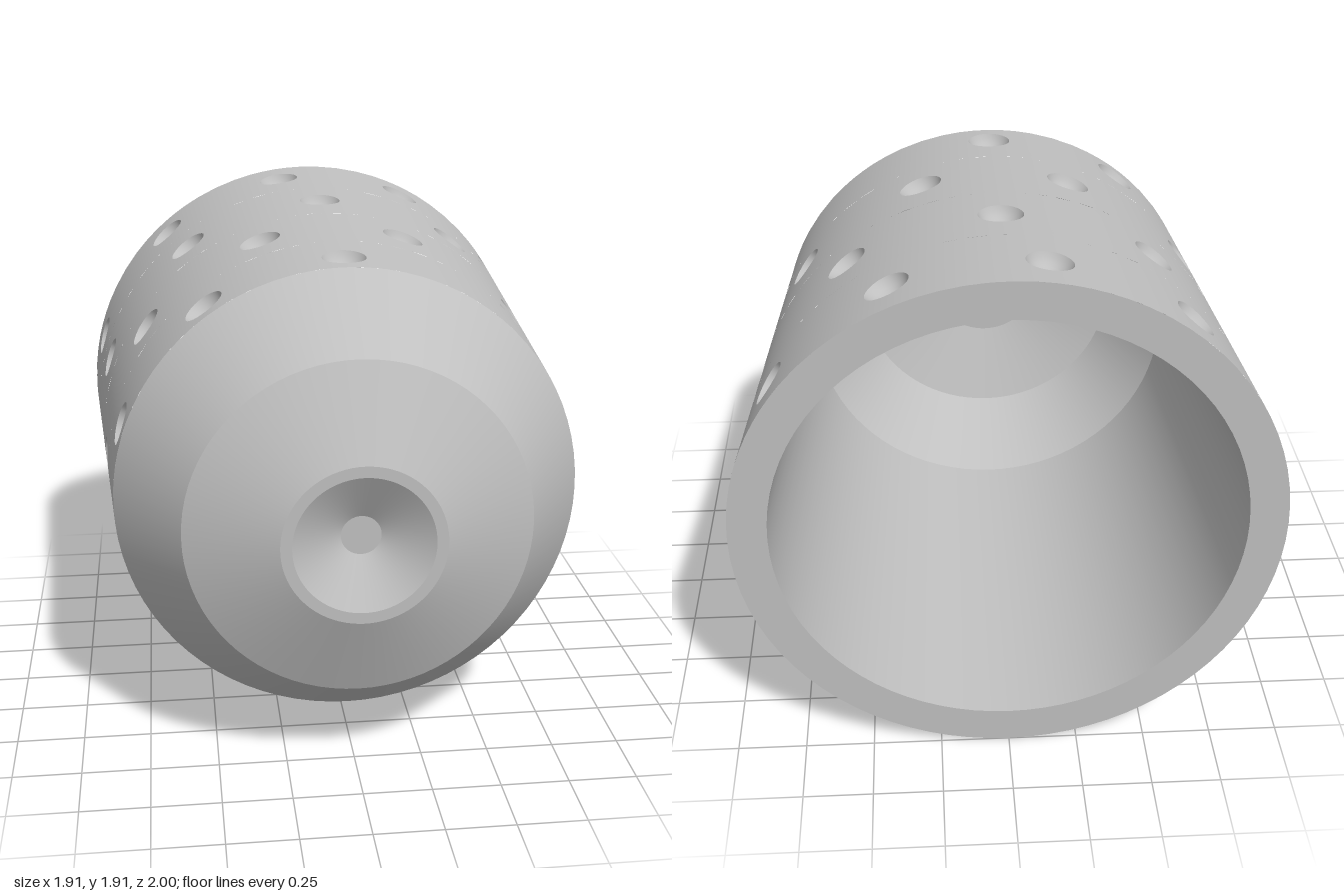
import * as THREE from 'three';
import { mergeGeometries } from 'three/addons/utils/BufferGeometryUtils.js';

const BACK_Z = -1, SHOULDER_Z = 0.53, BACK_R = 0.955, SHOULDER_R = 0.845;
const SLOPE = (BACK_R - SHOULDER_R) / (SHOULDER_Z - BACK_Z);
const SIDES = 32; // points around each dimple
const PIT_R = 0.08, PIT_DEPTH = 0.06;

const wallRadius = (z) => BACK_R - (z - BACK_Z) * SLOPE;

// Point on the tapered wall, sunk inwards by depth
const onWall = (angle, z, depth = 0) => {
  const r = wallRadius(z) - depth;
  return [r * Math.cos(angle), r * Math.sin(angle), z];
};

// Skin closed loops of points, ordered from the outside in
function skin(loops) {
  const index = [];
  for (let j = 0; j < loops.length - 1; j++) {
    for (let k = 0; k < SIDES; k++) {
      const a = j * SIDES + k, b = j * SIDES + (k + 1) % SIDES;
      index.push(a, b, a + SIDES, b, b + SIDES, a + SIDES);
    }
  }
  const geo = new THREE.BufferGeometry();
  geo.setAttribute('position', new THREE.Float32BufferAttribute(loops.flat(2), 3));
  geo.setIndex(index);
  geo.computeVertexNormals();
  return geo;
}

const around = (fn) => Array.from({ length: SIDES }, (_, k) => {
  const a = (k / SIDES) * Math.PI * 2;
  return fn(Math.cos(a), Math.sin(a));
});

// Patch of wall between two heights with a round hole (or none)
function wallCell(angle, halfAngle, z0, z1, zc, holeR) {
  const steps = 5, loops = [];
  for (let j = 0; j <= steps; j++) {
    const t = j / steps;
    loops.push(around((c, s) => {
      const m = Math.max(Math.abs(c), Math.abs(s));
      const outerU = (c / m) * halfAngle;
      const outerZ = (z0 + z1) / 2 + (s / m) * (z1 - z0) / 2;
      const holeU = (c * holeR) / wallRadius(zc), holeZ = zc + s * holeR;
      return onWall(angle + outerU + (holeU - outerU) * t, outerZ + (holeZ - outerZ) * t);
    }));
  }
  const geo = skin(loops);
  // Smooth cone normals, so that patches join without seams
  const p = geo.attributes.position, n = geo.attributes.normal, v = new THREE.Vector3();
  for (let i = 0; i < p.count; i++) {
    v.set(p.getX(i), p.getY(i), 0).normalize().setZ(SLOPE).normalize();
    n.setXYZ(i, v.x, v.y, v.z);
  }
  return geo;
}

// Spherical pit
function pit(angle, zc) {
  const R = (PIT_R ** 2 + PIT_DEPTH ** 2) / (2 * PIT_DEPTH), steps = 6, loops = [];
  const sweep = Math.asin(PIT_R / R);
  for (let j = 0; j <= steps; j++) {
    const rho = R * Math.sin(sweep * (1 - j / steps));
    const depth = Math.sqrt(R * R - rho * rho) - (R - PIT_DEPTH);
    loops.push(around((c, s) =>
      onWall(angle + (c * rho) / wallRadius(zc), zc + s * rho, depth)));
  }
  return skin(loops);
}

// Turned surface about z with a sharp edge at each profile point
function turned(points) {
  const parts = [];
  for (let i = 0; i < points.length - 1; i++) {
    const pair = [points[i], points[i + 1]].map(([r, z]) => new THREE.Vector2(r, z));
    parts.push(new THREE.LatheGeometry(pair, 80));
  }
  return mergeGeometries(parts).rotateX(Math.PI / 2);
}

export function createModel() {
  const group = new THREE.Group();
  group.name = 'thimble';
  const metal = new THREE.MeshStandardMaterial({ color: 0xbfbfbf });
  metal.name = 'grey metal';
  const add = (name, geo) => {
    const mesh = new THREE.Mesh(geo, metal);
    mesh.name = name;
    group.add(mesh);
  };

  // Staggered rows of dimples; one place in the front row is plain
  const rows = [
    { z: 0.4, z0: 0.2, z1: SHOULDER_Z, count: 10, start: 0.5, plain: 1 },
    { z: 0.01, z0: -0.2, z1: 0.2, count: 10, start: 0 },
    { z: -0.41, z0: -0.61, z1: -0.2, count: 10, start: 0.5 },
    { z: -0.82, z0: BACK_Z, z1: -0.61, count: 11, start: 0 },
  ];
  const cells = [], pits = [];
  for (const row of rows) {
    const step = (Math.PI * 2) / row.count;
    for (let i = 0; i < row.count; i++) {
      const angle = (i + row.start) * step, plain = i === row.plain;
      cells.push(wallCell(angle, step / 2, row.z0, row.z1, row.z, plain ? 0 : PIT_R));
      if (!plain) pits.push(pit(angle, row.z));
    }
  }
  add('outerWall', mergeGeometries(cells));
  add('dimples', mergeGeometries(pits));

  // Bevelled nose with a conical recess in the tip
  add('nose', turned([[SHOULDER_R, SHOULDER_Z], [0.61, 0.86], [0.285, 1]]));
  add('tipRing', turned([[0.285, 1], [0.245, 1]]));
  add('tipRecess', turned([[0.245, 1], [0.07, 0.9], [0, 0.9]]));

  // Hollow inside and open rim
  add('innerWall', turned([[0, 0.82], [0.22, 0.82], [0.53, 0.72], [0.72, 0.42], [0.82, BACK_Z]]));
  add('rim', turned([[0.82, BACK_Z], [BACK_R, BACK_Z]]));

  group.position.y = BACK_R;
  return group;
}
